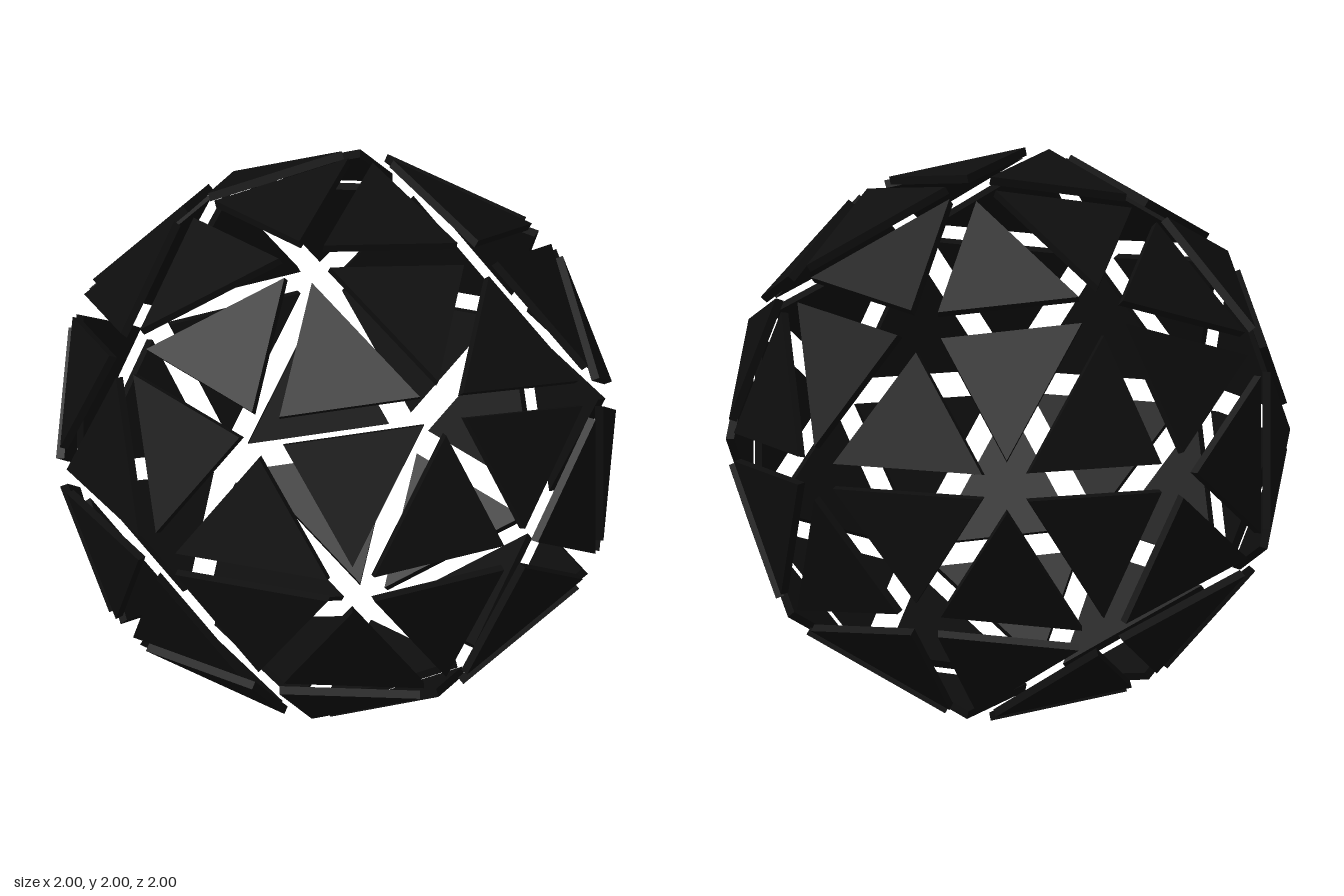
import * as THREE from 'three';

const PHI = (1 + Math.sqrt(5)) / 2;
const SIZE = 1.0095 / PHI;      // scale of the unit dodecahedron frame
const APEX = 0.88705;           // height factor of the pyramid tips on its faces
const SHRINK = 0.75;            // each panel is scaled about its centroid
const THICK = 0.03;

// All sign variations of a point, in its three cyclic orders
function signed(x, y, z) {
  const list = [];
  for (const [a, b, c] of [[x, y, z], [z, x, y], [y, z, x]])
    for (const i of a ? [1, -1] : [1])
      for (const j of b ? [1, -1] : [1])
        for (const k of c ? [1, -1] : [1])
          list.push(new THREE.Vector3(a * i, b * j, c * k));
  return list;
}

export function createModel() {
  const group = new THREE.Group();
  group.name = 'panelledBall';

  const corners = signed(1 / PHI, 0, PHI);
  for (const x of [1, -1]) for (const y of [1, -1]) for (const z of [1, -1])
    corners.push(new THREE.Vector3(x, y, z));
  const tips = signed(0, 1, PHI);

  // One triangular panel: centroid at the origin, tip along +y, outer face at z = 0
  const half = SIZE / PHI;
  const edgeMid = new THREE.Vector3(0, 0, PHI);
  const height = edgeMid.distanceTo(new THREE.Vector3(0, APEX, PHI * APEX)) * SIZE;
  const shape = new THREE.Shape([
    new THREE.Vector2(-half, -height / 3),
    new THREE.Vector2(half, -height / 3),
    new THREE.Vector2(0, height * 2 / 3),
  ].map((p) => p.multiplyScalar(SHRINK)));
  const panelGeometry = new THREE.ExtrudeGeometry(shape, { depth: THICK, bevelEnabled: false });
  panelGeometry.translate(0, 0, -THICK);
  const material = new THREE.MeshStandardMaterial({ color: 0x0e0e0e, flatShading: true });

  // Five panels around each of the twelve tips
  for (const dir of tips) {
    const cluster = new THREE.Group();
    cluster.name = 'panelCluster';
    const ring = corners.filter((c) => c.dot(dir) > 2.6);
    const tip = dir.clone().multiplyScalar(APEX);
    ring.forEach((a, i) => ring.slice(i + 1).forEach((b) => {
      if (a.distanceTo(b) > 1.3) return;
      const mid = a.clone().add(b).multiplyScalar(0.5);
      const up = tip.clone().sub(mid).normalize();
      const right = b.clone().sub(a).normalize();
      const out = right.clone().cross(up);
      if (out.dot(mid) < 0) { right.negate(); out.negate(); }
      const centre = a.clone().add(b).add(tip).multiplyScalar(SIZE / 3);
      const panel = new THREE.Mesh(panelGeometry, material);
      panel.name = 'trianglePanel';
      panel.quaternion.setFromRotationMatrix(new THREE.Matrix4().makeBasis(right, up, out));
      panel.position.copy(centre);
      cluster.add(panel);
    }));
    group.add(cluster);
  }

  group.position.y = 1;
  const model = new THREE.Group();
  model.name = 'model';
  model.add(group);
  return model;
}
